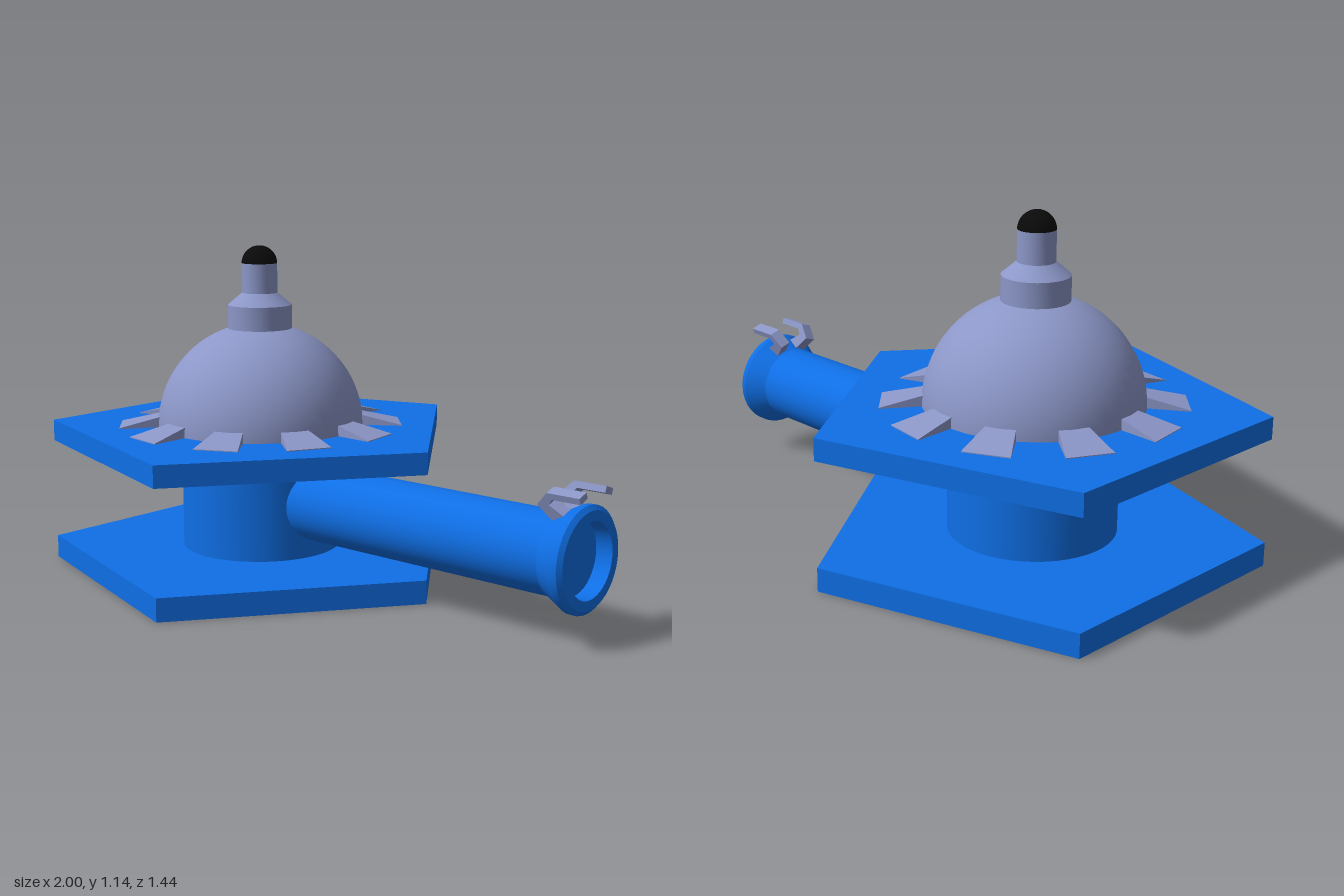
import * as THREE from 'three';
import { toCreasedNormals } from 'three/addons/utils/BufferGeometryUtils.js';

const blue = new THREE.MeshStandardMaterial({ color: 0x0f6fe6 });
const blueFlat = new THREE.MeshStandardMaterial({ color: 0x0f6fe6, flatShading: true });
const grey = new THREE.MeshStandardMaterial({ color: 0x8c97c8 });
const greyFlat = new THREE.MeshStandardMaterial({ color: 0x8c97c8, flatShading: true });
const black = new THREE.MeshStandardMaterial({ color: 0x0a0a0a });

const AXIS_X = -0.39; // vertical axis of the body
const ARM_Y = 0.265;  // height of the arm axis

function add(parent, name, geometry, material, x = 0, y = 0, z = 0) {
  const mesh = new THREE.Mesh(geometry, material);
  mesh.name = name;
  mesh.position.set(x, y, z);
  parent.add(mesh);
  return mesh;
}

// Turned part with sharp corners and smooth sides
function turned(profile, segments = 40) {
  const points = profile.map(([r, y]) => new THREE.Vector2(r, y));
  return toCreasedNormals(new THREE.LatheGeometry(points, segments), Math.PI / 7);
}

// Wedge that widens and thins out away from the dome
function finGeometry() {
  const geometry = new THREE.BoxGeometry(1, 1, 1);
  const pos = geometry.attributes.position;
  for (let i = 0; i < pos.count; i++) {
    const outer = pos.getX(i) > 0;
    const top = pos.getY(i) > 0;
    const halfWidth = outer ? 0.077 : 0.044;
    pos.setXYZ(i, outer ? 0.495 : 0.33, top ? (outer ? 0.003 : 0.042) : 0,
      Math.sign(pos.getZ(i)) * halfWidth);
  }
  return geometry;
}

// Bent strip, profile in (distance along arm, distance from arm axis)
function clipGeometry() {
  const shape = new THREE.Shape([
    [0.9, 0.12], [0.945, 0.148], [0.885, 0.187], [0.9, 0.208], [1.0, 0.208],
    [1.0, 0.229], [0.885, 0.229], [0.842, 0.182],
  ].map(([x, y]) => new THREE.Vector2(x, y)));
  const geometry = new THREE.ExtrudeGeometry(shape, { depth: 0.04, bevelEnabled: false });
  geometry.translate(0, 0, -0.02);
  return geometry;
}

export function createModel() {
  const model = new THREE.Group();
  model.name = 'beacon';

  // Pentagonal plates, one corner towards the arm
  for (const [name, y, h] of [['basePlate', 0, 0.08], ['upperPlate', 0.435, 0.075]]) {
    const plate = new THREE.CylinderGeometry(0.7545, 0.7545, h, 5, 1, false, Math.PI / 2);
    add(model, name, plate, blueFlat, AXIS_X, y + h / 2);
  }

  // Drum between the plates
  add(model, 'drum', new THREE.CylinderGeometry(0.28, 0.28, 0.355, 48), blue, AXIS_X, 0.2575);

  // Arm with a flared, recessed mouth
  const arm = add(model, 'arm', turned([
    [0.132, 0], [0.132, 1.27], [0.17, 1.345], [0.17, 1.365], [0.155, 1.378],
    [0.122, 1.378], [0.122, 1.32], [0, 1.32],
  ]), blue, AXIS_X, ARM_Y);
  arm.rotation.z = -Math.PI / 2;

  // Pair of bent clips on the mouth
  const clip = clipGeometry();
  for (const side of [-1, 1]) {
    const mesh = add(model, side > 0 ? 'frontClip' : 'rearClip', clip, greyFlat, 0, ARM_Y);
    mesh.rotation.x = side * 0.33;
  }

  // Dome
  add(model, 'dome', new THREE.SphereGeometry(0.362, 40, 20, 0, Math.PI * 2, 0, Math.PI / 2),
    grey, AXIS_X, 0.508);

  // Ring of fins around the dome
  const fins = new THREE.Group();
  fins.name = 'fins';
  fins.position.set(AXIS_X, 0.51, 0);
  const fin = finGeometry();
  for (let i = 0; i < 10; i++) {
    add(fins, 'fin', fin, greyFlat).rotation.y = THREE.MathUtils.degToRad(9 + 36 * i);
  }
  model.add(fins);

  // Collar and neck
  add(model, 'collar', turned([
    [0.112, 0.82], [0.112, 0.935], [0.062, 0.977], [0.062, 1.08],
  ], 32), grey, AXIS_X);

  // Black cap
  add(model, 'cap', new THREE.SphereGeometry(0.062, 32, 12, 0, Math.PI * 2, 0, Math.PI / 2),
    black, AXIS_X, 1.079);

  return model;
}
